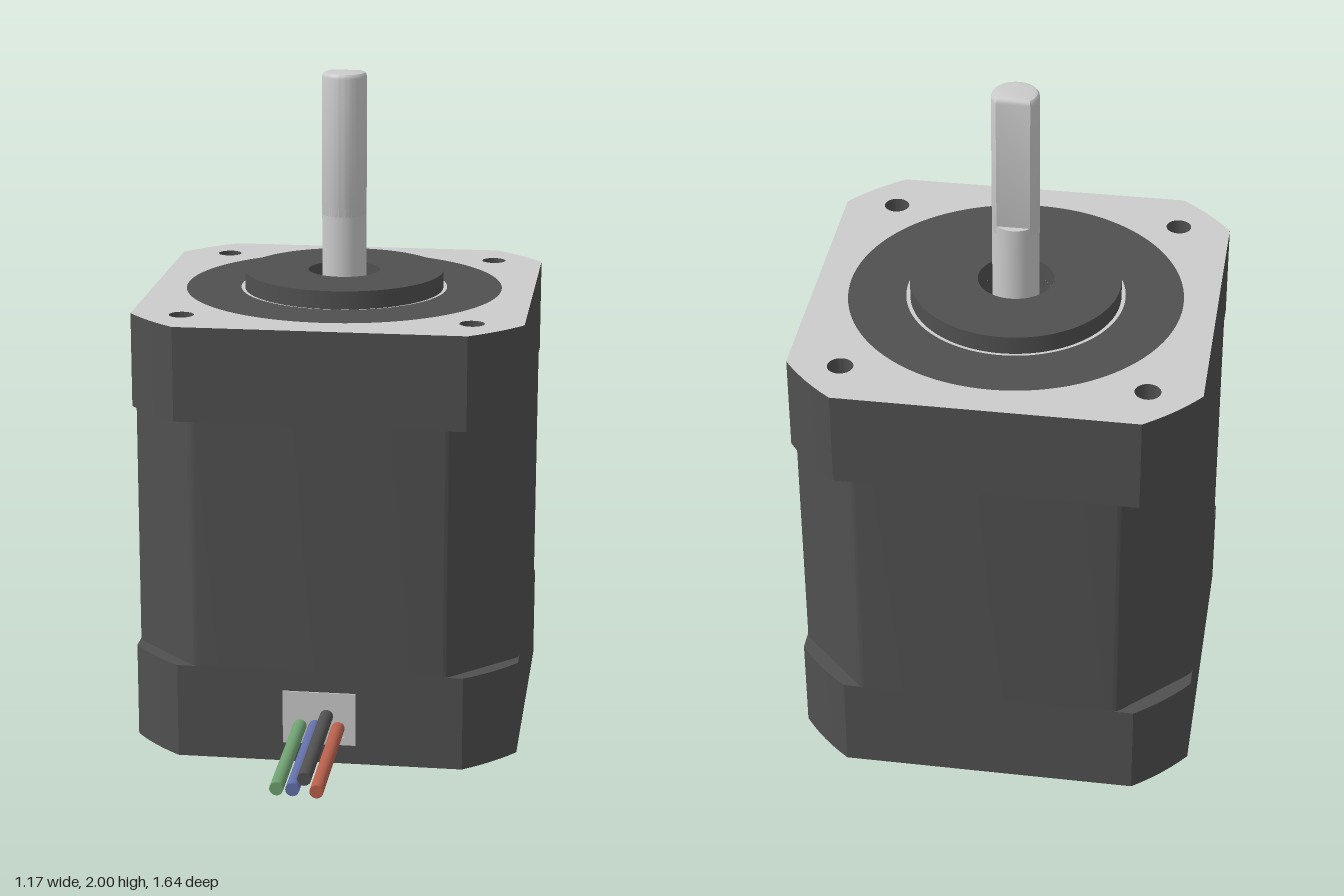
import * as THREE from 'three';
import { toCreasedNormals } from 'three/addons/utils/BufferGeometryUtils.js';

const CZ = -0.238; // motor axis
const H = 0.583; // half width of the body
const BOLT = 0.43; // screw offset from the axis
const FRONT = CZ + H;

const paint = (color, side = THREE.FrontSide) => new THREE.MeshStandardMaterial({ color, side });
const grey = paint(0xcccccc);
const dark = paint(0x505050);

function add(parent, name, geometry, material, x = 0, y = 0, z = 0) {
  const mesh = new THREE.Mesh(geometry, material);
  mesh.name = name;
  mesh.position.set(x, y, z);
  parent.add(mesh);
  return mesh;
}

// Vertical extrusion of a plan shape, from y = 0 up
function rise(shape, height, options = {}) {
  const g = new THREE.ExtrudeGeometry(shape, { depth: height, bevelEnabled: false, curveSegments: 24, ...options });
  g.rotateX(-Math.PI / 2);
  return toCreasedNormals(g, 0.5);
}

function circle(r, x = 0, y = 0, Type = THREE.Path) {
  return new Type().absarc(x, y, r, 0, Math.PI * 2, false);
}

function cornerPoints() {
  return [[1, 1], [-1, 1], [-1, -1], [1, -1]].map(([a, b]) => [a * BOLT, b * BOLT]);
}

// Square with rounded-off corners (end caps)
function capShape() {
  const r = Math.hypot(BOLT, H), a = Math.atan2(BOLT, H);
  const s = new THREE.Shape();
  for (let i = 0; i < 4; i++) {
    const q = i * Math.PI / 2;
    for (let k = 0; k <= 6; k++) {
      const t = q + a + (Math.PI / 2 - 2 * a) * k / 6;
      const p = [r * Math.cos(t), r * Math.sin(t)];
      i + k ? s.lineTo(...p) : s.moveTo(...p);
    }
  }
  s.closePath();
  return s;
}

// Square with deeper straight corners and softened edges (middle stack)
function stackShape() {
  const s = new THREE.Shape();
  const c = 0.38, e = 0.015;
  for (let i = 0; i < 4; i++) {
    const turn = (x, y) => [[x, y], [-y, x], [-x, -y], [y, -x]][i];
    const first = turn(H, c - e);
    i ? s.lineTo(...first) : s.moveTo(...first);
    s.quadraticCurveTo(...turn(H, c), ...turn(H - e, c + e));
    s.lineTo(...turn(c + e, H - e));
    s.quadraticCurveTo(...turn(c, H), ...turn(c - e, H));
  }
  s.closePath();
  return s;
}

function pierce(shape, ...paths) {
  shape.holes.push(...paths);
  return shape;
}

function buildBody(motor) {
  const body = new THREE.Group();
  body.name = 'body';
  motor.add(body);
  const bores = cornerPoints().map(([x, y]) => circle(0.088, x, y));
  const threads = cornerPoints().map(([x, y]) => circle(0.037, x, y));
  add(body, 'rearCapFace', rise(pierce(capShape(), ...bores), 0.05), dark);
  add(body, 'rearCap', rise(capShape(), 0.24), dark, 0, 0.05);
  add(body, 'middleStack', rise(stackShape(), 0.76), dark, 0, 0.29);
  add(body, 'frontCap', rise(capShape(), 0.165), dark, 0, 1.05);
  add(body, 'mountingFace', rise(pierce(capShape(), circle(0.11), ...threads), 0.12), [grey, dark], 0, 1.215);

  // Dark ring on the mounting face and raised pilot boss
  const ring = new THREE.RingGeometry(0.317, 0.485, 96).rotateX(-Math.PI / 2);
  add(body, 'faceRing', ring, dark, 0, 1.337);
  const boss = pierce(circle(0.305, 0, 0, THREE.Shape), circle(0.11));
  add(body, 'pilotBoss', rise(boss, 0.055, { curveSegments: 64 }), dark, 0, 1.335);
}

function buildShaft(motor) {
  const shaft = new THREE.Group();
  shaft.name = 'shaft';
  motor.add(shaft);
  const r = 0.068, flat = 0.048, a = Math.asin(flat / r);
  add(shaft, 'shaftBase', new THREE.CylinderGeometry(r, r, 0.38, 40), grey, 0, 1.4);
  // Upper part with a flat on the back
  const d = new THREE.Shape();
  d.absarc(0, 0, r, Math.PI - a, Math.PI * 2 + a, false);
  d.closePath();
  const bevel = { bevelEnabled: true, bevelSize: 0.013, bevelOffset: -0.013, bevelThickness: 0.015, bevelSegments: 3 };
  add(shaft, 'shaftEnd', rise(d, 0.42, bevel), grey, 0, 1.565);
}

// Cross-recessed screws sunk into the underside
function buildScrews(motor) {
  const w = 0.009, l = 0.036;
  const cross = new THREE.Path();
  for (let i = 0; i < 4; i++) {
    [[l, -w], [l, w], [w, w]].forEach(([x, y], k) => {
      const p = [[x, y], [-y, x], [-x, -y], [y, -x]][i];
      i + k ? cross.lineTo(...p) : cross.moveTo(...p);
    });
  }
  cross.closePath();
  const head = rise(pierce(circle(0.064, 0, 0, THREE.Shape), cross), 0.025);
  const seat = new THREE.CylinderGeometry(0.064, 0.064, 0.02, 32);
  for (const [x, z] of cornerPoints()) {
    const screw = new THREE.Group();
    screw.name = 'screw';
    screw.position.set(x, 0.01, z);
    add(screw, 'screwHead', head, grey);
    add(screw, 'screwSeat', seat, grey, 0, 0.035);
    motor.add(screw);
  }
}

// Socket frame on the front with four leads
function buildConnector(root) {
  const connector = new THREE.Group();
  connector.name = 'connector';
  root.add(connector);
  const rect = (Type, x0, y0, x1, y1) => {
    const s = new Type();
    s.moveTo(x0, y0).lineTo(x1, y0).lineTo(x1, y1).lineTo(x0, y1).closePath();
    return s;
  };
  const frame = pierce(rect(THREE.Shape, -0.11, 0.06, 0.11, 0.225), rect(THREE.Path, -0.085, 0.085, 0.08, 0.2));
  add(connector, 'socketFrame', new THREE.ExtrudeGeometry(frame, { depth: 0.02, bevelEnabled: false }), grey, 0, 0, FRONT - 0.016);
  add(connector, 'socketFloor', new THREE.PlaneGeometry(0.165, 0.115), grey, -0.0025, 0.1425, FRONT + 0.001);

  const end = 0.82, start = FRONT - 0.03;
  const wire = new THREE.CylinderGeometry(0.02, 0.02, end - start, 20).rotateX(Math.PI / 2);
  const leads = [
    ['greenWire', 0x6fa070, -0.058, 0.116], ['blueWire', 0x6470aa, -0.012, 0.116],
    ['blackWire', 0x505050, 0.022, 0.15], ['redWire', 0xb8604c, 0.057, 0.113],
  ];
  for (const [name, color, x, y] of leads) add(connector, name, wire, paint(color), x, y, (start + end) / 2);
}

export function createModel() {
  const root = new THREE.Group();
  root.name = 'stepperMotor';
  const motor = new THREE.Group();
  motor.name = 'motor';
  motor.position.z = CZ;
  root.add(motor);
  buildBody(motor);
  buildShaft(motor);
  buildScrews(motor);
  buildConnector(root);
  return root;
}
